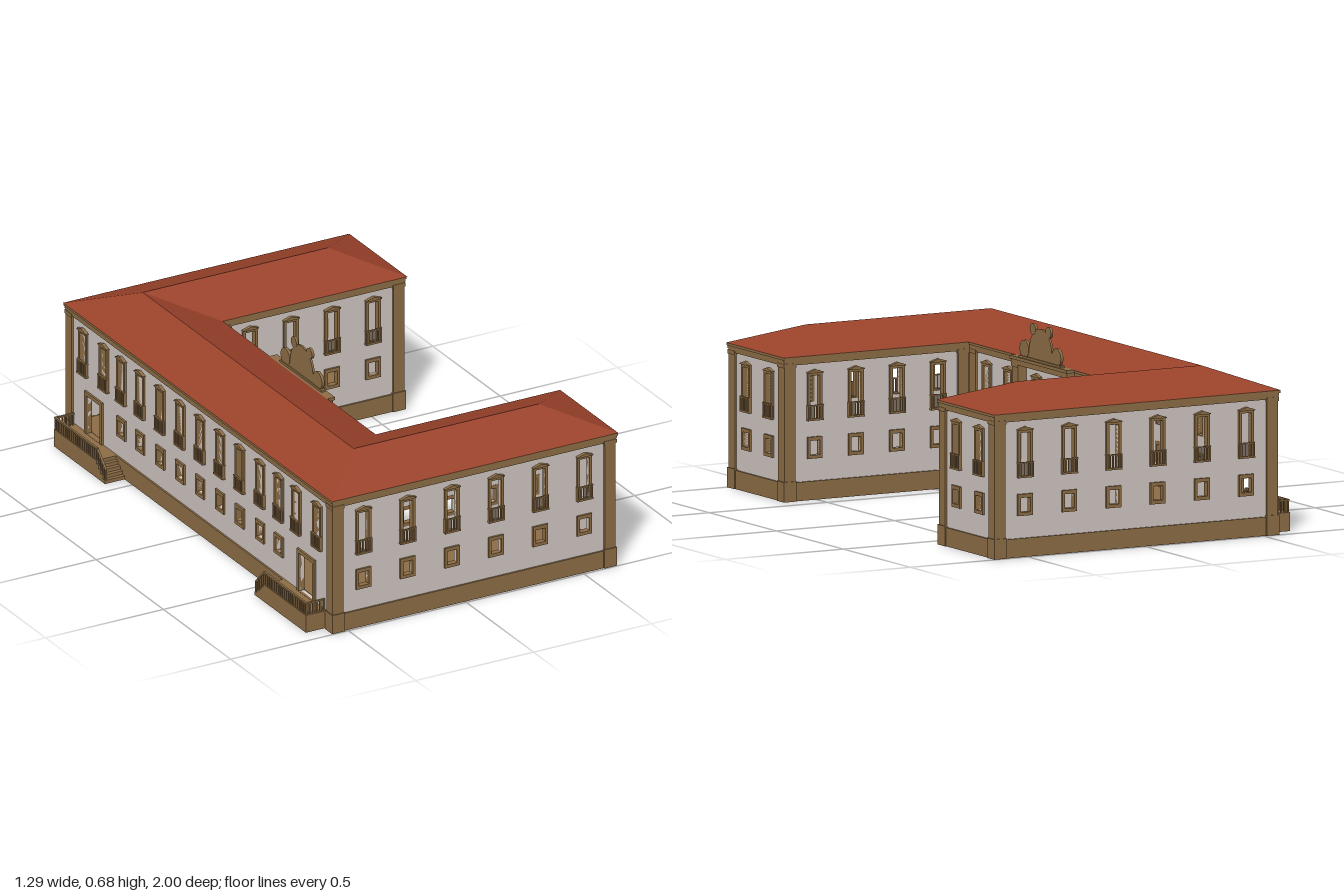
import * as THREE from 'three';

const material = (name, color, side = THREE.FrontSide) => Object.assign(new THREE.MeshStandardMaterial({ color, side }), { name });
const plaster = material('pale plaster', 0xd2c9c5);
const stone = material('tan stone', 0x8e6f47);
const tile = material('red tile', 0x9b432b, THREE.DoubleSide);

function add(parent, name, geo, mat = stone) {
  const m = new THREE.Mesh(geo, mat);
  m.name = name;
  parent.add(m);
  return m;
}

function group(parent, name) {
  const g = new THREE.Group();
  g.name = name;
  parent.add(g);
  return g;
}

// box given by its limits on each axis
function box(parent, name, x0, x1, y0, y1, z0, z1) {
  const m = add(parent, name, new THREE.BoxGeometry(x1 - x0, y1 - y0, Math.abs(z1 - z0)));
  m.position.set((x0 + x1) / 2, (y0 + y1) / 2, (z0 + z1) / 2);
}

const poly = pts => pts.map(p => new THREE.Vector2(...p));
const rect = (u, w, y0, y1) => poly([[u - w / 2, y0], [u + w / 2, y0], [u + w / 2, y1], [u - w / 2, y1]]);

function plate(outline, holes, z0, z1) {
  const s = new THREE.Shape(outline);
  s.holes = holes.map(h => new THREE.Path(h));
  return new THREE.ExtrudeGeometry(s, { depth: z1 - z0, bevelEnabled: false }).translate(0, 0, z0);
}

// U-shaped plan, grown outwards by d from the wall faces
const plan = d => poly([
  [-0.555 - d, -0.985 - d], [0.63 + d, -0.985 - d], [0.63 + d, -0.585 + d], [-0.155 + d, -0.585 + d],
  [-0.155 + d, 0.585 - d], [0.63 + d, 0.585 - d], [0.63 + d, 0.985 + d], [-0.555 - d, 0.985 + d]]);

const planSlab = (parent, name, d, y0, y1, holes) =>
  add(parent, name, plate(plan(d), holes, y0, y1).rotateX(-Math.PI / 2));

// platform with an open underside
function platform(parent, name, x0, x1, h, z0, z1) {
  const ring = plate(rect((x0 + x1) / 2, x1 - x0, z0, z1),
    [rect((x0 + x1) / 2, x1 - x0 - 0.016, z0 + 0.008, z1 - 0.008)], 0, h);
  add(parent, name + 'Skirt', ring.rotateX(Math.PI / 2).translate(0, h, 0));
  box(parent, name, x0 + 0.004, x1 - 0.004, h - 0.008, h, z0 + 0.004, z1 - 0.004);
}

// railing between two floor points, following the slope
function railing(parent, a, b, n, h = 0.046, t = 0.006) {
  const g = group(parent, 'railing');
  const p = new THREE.Vector3(...a), q = new THREE.Vector3(...b);
  const top = add(g, 'handrail', new THREE.BoxGeometry(t * 1.4, t, p.distanceTo(q) + t));
  top.quaternion.setFromUnitVectors(new THREE.Vector3(0, 0, 1), q.clone().sub(p).normalize());
  top.position.copy(p).lerp(q, 0.5).y += h;
  const post = new THREE.BoxGeometry(t, h, t);
  for (let i = 0; i <= n; i++) add(g, 'baluster', post).position.copy(p).lerp(q, i / n).y += h / 2;
}

function pediment(parent, u, w, y, h) {
  const out = poly([[u - w / 2, y], [u + w / 2, y], [u + w / 2, y + h * 0.25], [u, y + h], [u - w / 2, y + h * 0.25]]);
  add(parent, 'pediment', plate(out, [], 0, 0.013));
}

function balcony(parent, u) {
  box(parent, 'balconyFloor', u - 0.033, u + 0.033, 0.296, 0.303, 0, 0.014);
  railing(parent, [u - 0.03, 0.3, 0.0105], [u + 0.03, 0.3, 0.0105], 5, 0.052, 0.005);
  for (const s of [-1, 1]) railing(parent, [u + s * 0.03, 0.3, 0.003], [u + s * 0.03, 0.3, 0.01], 1, 0.052, 0.005);
}

// openings: hole width and heights, then frame width and heights, then pediment height
const openings = {
  tall: [0.041, 0.3, 0.464, 0.063, 0.296, 0.473, 0.014],
  small: [0.041, 0.167, 0.221, 0.063, 0.154, 0.235, 0],
  upper: [0.041, 0.375, 0.464, 0.063, 0.36, 0.473, 0.014],
  doors: [0.076, 0.071, 0.235, 0.138, 0.07, 0.25, 0.038],
  gates: [0.1, 0.071, 0.225, 0.13, 0.07, 0.24, 0] };

// one facade: local x runs along the wall, local z points outwards
function facade(root, name, pos, turn, flip, from, to, o) {
  const g = group(root, name);
  g.position.set(...pos);
  g.rotation.y = turn;
  const holes = [];
  for (const [kind, [w, y0, y1, fw, f0, f1, peak]] of Object.entries(openings)) {
    for (const v of o[kind] || []) {
      const u = v * flip, hole = rect(u, w, y0, y1);
      holes.push(hole);
      add(g, kind + 'Frame', plate(rect(u, fw, f0, f1), [hole], -0.016, 0.008));
      if (peak) pediment(g, u, fw + 0.004, f1, peak);
      if (kind === 'tall') balcony(g, u);
    }
  }
  add(g, 'wall', plate(rect((from + to) / 2 * flip, to - from, 0.06, 0.52), holes, -0.015, 0), plaster);
  for (const v of o.piers) pilaster(g, v * flip, 0.023, 0.008);
  return g;
}

function pilaster(g, u, w, out) {
  box(g, 'pilaster', u - w, u + w, 0.07, 0.51, -0.01, out);
  box(g, 'pilasterBase', u - w - 0.004, u + w + 0.004, 0, 0.075, -0.01, out + 0.004);
  box(g, 'pilasterCap', u - w - 0.003, u + w + 0.003, 0.5, 0.515, -0.01, out + 0.003);
}

function roof(root) {
  const v = [];
  const face = (s, ...p) => {
    if (s < 0) p.reverse();
    for (let i = 1; i < p.length - 1; i++) v.push(...p[0], ...p[i], ...p[i + 1]);
  };
  // four eave corners, then the two ridge ends
  const corners = s => [[-0.57, 0.54, s], [0.645, 0.54, s], [0.645, 0.54, 0.568 * s], [-0.138, 0.54, 0.568 * s],
    [-0.355, 0.62, 0.784 * s], [0.43, 0.62, 0.784 * s]];
  for (const s of [1, -1]) {
    const [A, B, C, D, R, T] = corners(s);
    face(s, A, B, T, R);
    face(s, B, C, T);
    face(s, C, D, R, T);
  }
  const f = corners(1), k = corners(-1);
  face(1, k[0], f[0], f[4], k[4]);
  face(1, f[3], k[3], k[4], f[4]);
  const geo = new THREE.BufferGeometry();
  geo.setAttribute('position', new THREE.Float32BufferAttribute(v, 3));
  geo.computeVertexNormals();
  add(root, 'hippedRoof', geo, tile);
}

// half or full discs, scrolls and knobs over the central bay
function crest(g) {
  const disc = (name, u, y, r, d, arc = Math.PI * 2) => {
    const geo = new THREE.CylinderGeometry(r, r, d, 28, 1, false, Math.PI / 2, arc);
    add(g, name, geo.rotateX(Math.PI / 2)).position.set(u, y, 0.031);
  };
  box(g, 'crestBase', -0.155, 0.155, 0.54, 0.55, 0.022, 0.04);
  box(g, 'crestBody', -0.12, 0.12, 0.545, 0.584, 0.027, 0.035);
  disc('crestArch', 0, 0.582, 0.084, 0.008, Math.PI);
  for (const s of [-1, 1]) {
    disc('crestScroll', s * 0.12, 0.576, 0.034, 0.011);
    disc('crestKnob', s * 0.058, 0.66, 0.021, 0.01);
  }
}

export function createModel() {
  const root = new THREE.Group();
  root.name = 'courtyardPalace';
  const H = Math.PI / 2;

  // hollow plinth, floor, cornice and roof
  const core = [plan(-0.015)];
  planSlab(root, 'plinth', 0.007, 0, 0.07, core);
  planSlab(root, 'floor', -0.02, 0.06, 0.068, []);
  planSlab(root, 'corniceLower', 0.009, 0.508, 0.52, core);
  planSlab(root, 'corniceMiddle', 0.011, 0.52, 0.53, core);
  planSlab(root, 'corniceUpper', 0.014, 0.53, 0.54, core);
  roof(root);

  // wing facades
  const long = [-0.43, -0.243, -0.055, 0.132, 0.32, 0.507], inner = [-0.015, 0.158, 0.333, 0.507];
  for (const s of [1, -1]) {
    const turn = s > 0 ? 0 : Math.PI;
    facade(root, 'wingOuterFacade', [0, 0, s * 0.985], turn, s, -0.555, 0.63, { tall: long, small: long, piers: [-0.54, 0.615] });
    facade(root, 'wingCourtFacade', [0, 0, s * 0.585], Math.PI - turn, -s, -0.155, 0.63, { tall: inner, small: inner, piers: [-0.122, 0.615] });
    facade(root, 'wingEndFacade', [0.63, 0, 0], H, -s, 0.585, 0.985, { tall: [0.7, 0.87], small: [0.7, 0.87], piers: [0.6, 0.97] });
  }

  // main block: rear side, then courtyard side with its central bay
  const half = [0.148, 0.296, 0.446, 0.585, 0.715, 0.87], both = list => [0, ...list, ...list.map(z => -z)];
  facade(root, 'rearFacade', [-0.555, 0, 0], -H, 1, -0.985, 0.985,
    { tall: both(half), small: both(half.slice(0, 4)), gates: [-0.79, 0.79], piers: [-0.97, 0.97] });
  const sides = [-0.455, -0.295, 0.295, 0.455];
  const court = facade(root, 'courtFacade', [-0.155, 0, 0], H, -1, -0.585, 0.585,
    { tall: sides, small: sides, upper: [-0.083, 0.083], doors: [0], piers: [-0.555, 0.555] });
  for (const s of [-1, 1]) pilaster(court, s * 0.188, 0.022, 0.036);
  box(court, 'bayEntablature', -0.21, 0.21, 0.51, 0.53, 0, 0.041);
  box(court, 'bayCornice', -0.215, 0.215, 0.53, 0.542, 0, 0.046);
  crest(court);

  // courtyard double stair
  const stair = group(root, 'courtStair');
  platform(stair, 'landing', -0.148, -0.05, 0.07, -0.155, 0.155);
  for (const s of [-1, 1]) {
    platform(stair, 'sideLanding', -0.052, 0.042, 0.07, s * 0.1325 - 0.0225, s * 0.1325 + 0.0225);
    for (let i = 0; i < 4; i++) box(stair, 'step', -0.05, 0.042, 0, 0.056 - i * 0.014, s * (0.11 - i * 0.015), s * (0.095 - i * 0.015));
    railing(stair, [-0.11, 0.07, s * 0.151], [0.038, 0.07, s * 0.151], 9);
    railing(stair, [0.038, 0.07, s * 0.151], [0.038, 0.07, s * 0.11], 3);
    railing(stair, [0.038, 0.07, s * 0.11], [0.038, 0.01, s * 0.055], 4);
  }

  // rear terraces with steps towards the middle
  for (const s of [-1, 1]) {
    const t = group(root, 'rearTerrace');
    platform(t, 'terrace', -0.645, -0.558, 0.07, s * 0.7785 - 0.1585, s * 0.7785 + 0.1585);
    for (let i = 0; i < 4; i++) box(t, 'step', -0.645, -0.56, 0, 0.056 - i * 0.014, s * (0.62 - i * 0.016), s * (0.604 - i * 0.016));
    railing(t, [-0.64, 0.07, s * 0.932], [-0.64, 0.07, s * 0.62], 20);
    railing(t, [-0.64, 0.07, s * 0.62], [-0.64, 0.01, s * 0.56], 4);
    railing(t, [-0.64, 0.07, s * 0.932], [-0.566, 0.07, s * 0.932], 5);
  }
  return root;
}
